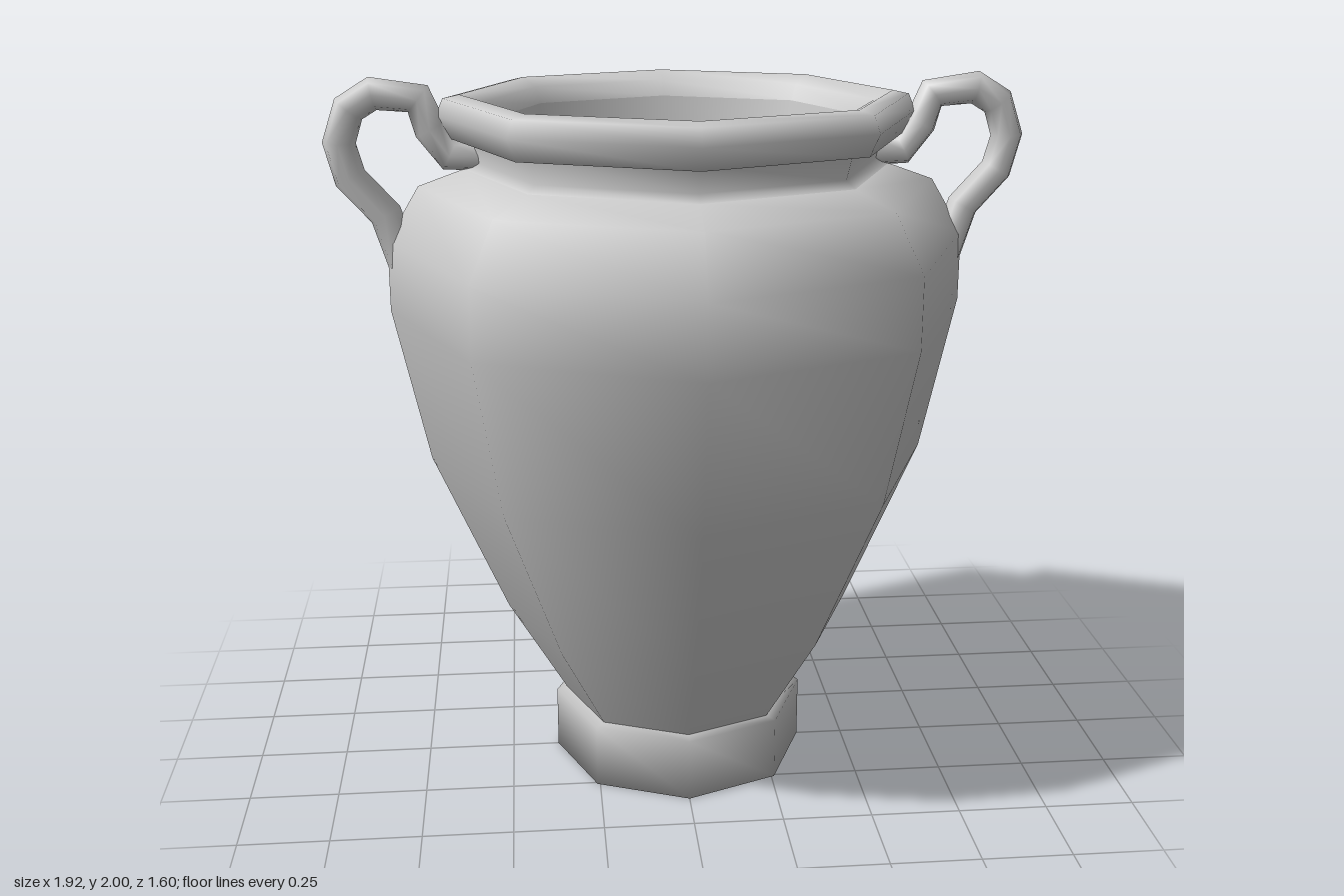
import * as THREE from 'three';

const clay = new THREE.MeshStandardMaterial({ color: 0xcccccc });
clay.name = 'plain grey clay';

const SIDES = 8;

// Turned part: eight-sided, smooth-shaded, profile given as [radius, height]
function turned(name, profile) {
  const points = profile.map(([r, y]) => new THREE.Vector2(r, y));
  const mesh = new THREE.Mesh(new THREE.LatheGeometry(points, SIDES), clay);
  mesh.name = name;
  return mesh;
}

// Looped handle: a round tube whose rings sit on the path points
function handle(name, side) {
  const path = [
    [0.54, 1.79], [0.62, 1.79], [0.67, 1.86], [0.70, 1.94], [0.82, 1.955],
    [0.885, 1.915], [0.915, 1.825], [0.89, 1.73], [0.80, 1.63], [0.755, 1.49],
  ].map(([x, y]) => new THREE.Vector3(x, y, 0));
  const curve = new THREE.CatmullRomCurve3(path);
  curve.getPointAt = (t, target) => curve.getPoint(t, target);
  curve.getTangentAt = (t, target) => curve.getTangent(t, target);
  const mesh = new THREE.Mesh(new THREE.TubeGeometry(curve, path.length - 1, 0.045, 8), clay);
  mesh.name = name;
  if (side < 0) mesh.rotation.y = Math.PI;
  return mesh;
}

export function createModel() {
  const urn = new THREE.Group();
  urn.name = 'urn';

  urn.add(
    // Foot with its closed underside and narrow top ledge
    turned('foot', [[0, 0], [0.365, 0], [0.365, 0.18], [0.32, 0.19]]),
    // Outer wall up to the neck
    turned('body', [
      [0.33, 0.18], [0.50, 0.46], [0.705, 0.925], [0.80, 1.36],
      [0.80, 1.555], [0.71, 1.705], [0.585, 1.75],
    ]),
    turned('neck', [[0.585, 1.75], [0.557, 1.77], [0.575, 1.84]]),
    // Rolled lip
    turned('rim', [
      [0.57, 1.83], [0.625, 1.835], [0.655, 1.895], [0.635, 1.94],
      [0.59, 1.95], [0.54, 1.925], [0.52, 1.88],
    ]),
    // Inside of the mouth, then the hollow down to its floor
    turned('mouth', [[0.52, 1.88], [0.50, 1.75]]),
    turned('hollow', [
      [0.50, 1.75], [0.68, 1.67], [0.76, 1.54], [0.76, 1.36],
      [0.665, 0.93], [0.46, 0.48], [0.30, 0.23], [0, 0.2],
    ]),
    handle('leftHandle', 1),
    handle('rightHandle', -1),
  );
  return urn;
}
